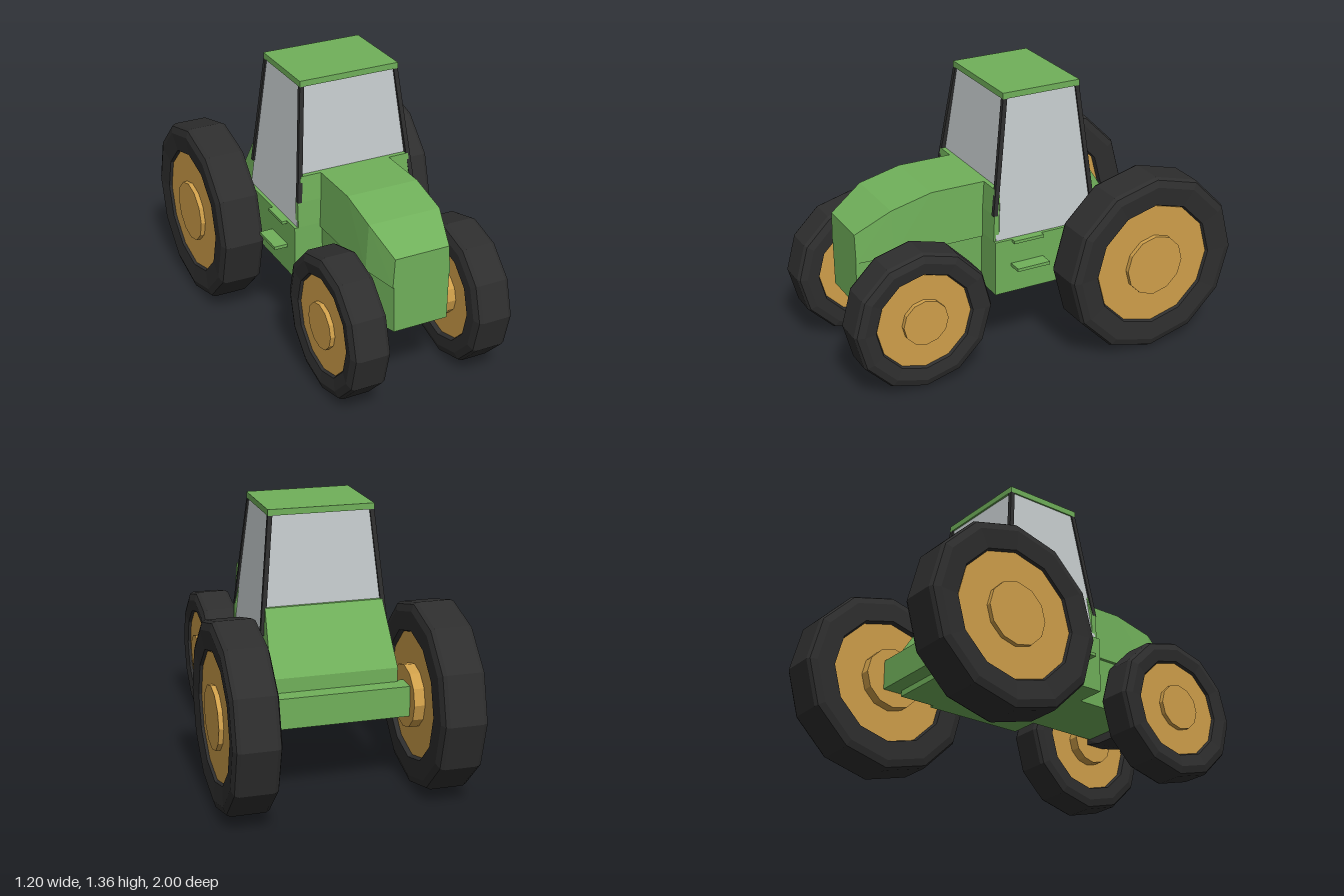
import * as THREE from 'three';
import { ConvexGeometry } from 'three/addons/geometries/ConvexGeometry.js';

const mat = (color) => new THREE.MeshStandardMaterial({ color, flatShading: true });

export function createModel() {
  const model = new THREE.Group();
  const green = mat(0x70b05a), gold = mat(0xcf9f4a), rubber = mat(0x2e2e2e), glass = mat(0xc4cacc);

  const add = (name, geometry, material, parent = model) => {
    const mesh = new THREE.Mesh(geometry, material);
    mesh.name = name;
    parent.add(mesh);
    return mesh;
  };
  // Convex solid from corners [x, y, z]
  const solid = (name, pts, material) =>
    add(name, new ConvexGeometry(pts.map((p) => new THREE.Vector3(...p))), material);
  // Same, with every corner mirrored across x = 0
  const symmetric = (name, pts, material) =>
    solid(name, pts.flatMap(([x, y, z]) => [[x, y, z], [-x, y, z]]), material);
  const box = (name, x0, x1, y0, y1, z0, z1, material) => {
    const mesh = add(name, new THREE.BoxGeometry(x1 - x0, y1 - y0, z1 - z0), material);
    mesh.position.set((x0 + x1) / 2, (y0 + y1) / 2, (z0 + z1) / 2);
  };

  // Hood: wide upper shell over a slightly narrower engine block
  symmetric('hood', [
    [0.2, 0.62, 0.15], [0.2, 0.62, 0.67], [0.15, 0.6, 0.84],
    [0.185, 0.9, 0.15], [0.185, 0.9, 0.46], [0.185, 0.85, 0.67], [0.14, 0.745, 0.84],
  ], green);
  symmetric('engineBlock', [
    [0.185, 0.36, 0.15], [0.185, 0.36, 0.67], [0.14, 0.365, 0.84],
    [0.19, 0.63, 0.15], [0.19, 0.63, 0.67], [0.145, 0.63, 0.84],
  ], green);

  // Cab base and sloping rear body
  box('cabBase', -0.335, 0.335, 0.36, 0.64, -0.33, 0.2, green);
  symmetric('rearBody', [
    [0.31, 0.36, -0.2], [0.31, 0.36, -0.52], [0.31, 0.61, -0.52],
    [0.29, 0.9, -0.34], [0.29, 0.9, -0.31], [0.31, 0.64, -0.31],
  ], green);
  box('rearAxleHousing', -0.35, 0.35, 0.39, 0.54, -0.6, -0.5, green);

  // Panel beside the hood, below the windscreen
  symmetric('frontPanel', [
    [0.315, 0.64, 0.17], [0.315, 0.64, 0.2], [0.315, 0.77, 0.17], [0.315, 0.77, 0.195],
    [0.29, 0.9, 0.15], [0.29, 0.9, 0.183],
  ], green);

  // Glazed cabin, tapering to the roof
  symmetric('cabGlass', [
    [0.318, 0.64, 0.19], [0.318, 0.64, -0.35], [0.252, 1.33, 0.11], [0.252, 1.33, -0.28],
  ], glass);
  box('roof', -0.26, 0.26, 1.33, 1.36, -0.29, 0.12, green);

  // Leaning corner pillars
  const pillars = [
    { name: 'frontPillar', low: 0.77, zLow: 0.2, zTop: 0.12, inward: -1 },
    { name: 'rearPillar', low: 0.77, zLow: -0.35, zTop: -0.29, inward: 1 },
  ];
  for (const { name, low, zLow, zTop, inward } of pillars) {
    for (const s of [-1, 1]) {
      const ring = (x, y, z) => [[0, 0], [-0.022, 0], [0, 0.022], [-0.022, 0.022]]
        .map(([dx, dz]) => [s * (x + dx), y, z + inward * dz]);
      solid(name, [...ring(0.316, low, zLow), ...ring(0.26, 1.33, zTop)], rubber);
    }
  }

  // Steps on both sides
  for (const s of [-1, 1]) {
    const span = (a, b) => (s > 0 ? [a, b] : [-b, -a]);
    box('upperStep', ...span(0.3, 0.36), 0.625, 0.64, -0.05, 0.11, green);
    box('lowerStep', ...span(0.3, 0.405), 0.497, 0.513, -0.06, 0.115, green);
  }

  // Front axle beam
  symmetric('frontAxle', [
    [0.1, 0.31, 0.56], [0.1, 0.31, 0.7], [0.23, 0.345, 0.58], [0.23, 0.345, 0.68],
    [0.23, 0.38, 0.58], [0.23, 0.38, 0.68],
  ], rubber);

  // Twelve-sided wheel: tyre, recessed rim, hub reaching out on the inner side
  const wheel = (name, side, x, y, z, R, r, hubR, w) => {
    const g = new THREE.Group();
    g.name = name;
    const profile = [
      [r, -w + 0.03], [r + 0.01, -w], [R - 0.045, -w], [R - 0.01, -w + 0.012], [R, -w + 0.03],
      [R, w - 0.03], [R - 0.01, w - 0.012], [R - 0.045, w], [r + 0.01, w - 0.01], [r, w - 0.03],
    ].map(([a, b]) => new THREE.Vector2(a, b));
    add('tyre', new THREE.LatheGeometry(profile, 12), rubber, g);
    add('rim', new THREE.CylinderGeometry(r + 0.002, r + 0.002, 2 * w - 0.045, 12), gold, g);
    add('hub', new THREE.CylinderGeometry(hubR, hubR, 2 * w + 0.03, 12), gold, g).position.y = -0.015;
    g.rotation.z = -side * Math.PI / 2;
    g.position.set(side * x, y, z);
    model.add(g);
  };
  wheel('leftRearWheel', 1, 0.4875, 0.463, -0.54, 0.46, 0.31, 0.155, 0.1125);
  wheel('rightRearWheel', -1, 0.4875, 0.463, -0.51, 0.46, 0.31, 0.155, 0.1125);
  wheel('leftFrontWheel', 1, 0.3325, 0.364, 0.615, 0.355, 0.24, 0.115, 0.0975);
  wheel('rightFrontWheel', -1, 0.325, 0.364, 0.64, 0.355, 0.24, 0.115, 0.0975);

  return model;
}
